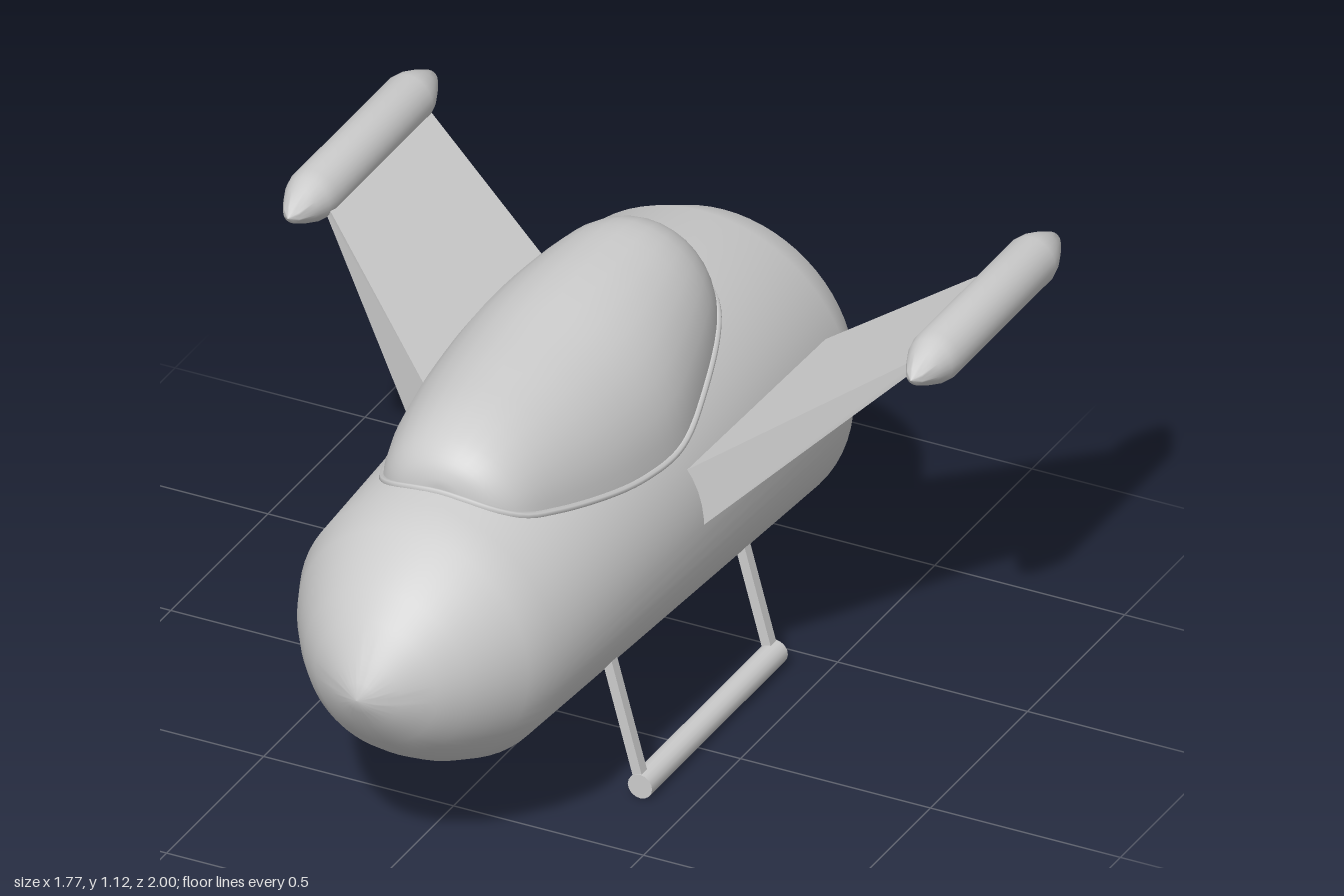
import * as THREE from 'three';
import { toCreasedNormals } from 'three/addons/utils/BufferGeometryUtils.js';

const AXIS_Y = 0.55;
const material = new THREE.MeshStandardMaterial({ color: 0xcccccc });
const twoSided = new THREE.MeshStandardMaterial({ color: 0xcccccc, side: THREE.DoubleSide });

function part(name, geometry, mat = material) {
  const mesh = new THREE.Mesh(geometry, mat);
  mesh.name = name;
  return mesh;
}

// Turned solid along z; the profile is [radius, z] from back to front
function turned(profile, segments) {
  const points = profile.map(([r, z]) => new THREE.Vector2(r, z));
  const geometry = new THREE.LatheGeometry(points, segments).rotateX(Math.PI / 2);
  return toCreasedNormals(geometry, 0.75);
}

// Height of the hull skin above a given x and z
function hullTop(x, z) {
  const r = 0.34 + (0.63 - z) * 0.0464;
  return AXIS_Y + Math.sqrt(r * r - x * x);
}

// Canopy stations: [half width, top height, z]
const canopyCurve = new THREE.CatmullRomCurve3([
  [0, 0.895, 0.57], [0.06, 0.925, 0.568], [0.13, 0.965, 0.548], [0.185, 1.005, 0.5],
  [0.225, 1.04, 0.41], [0.268, 1.065, 0.26], [0.297, 1.085, 0.1], [0.307, 1.107, -0.08],
  [0.276, 1.117, -0.25], [0.224, 1.11, -0.42], [0.18, 1.075, -0.5], [0.13, 1.03, -0.538],
  [0.06, 0.975, -0.56], [0, 0.94, -0.563],
].map((p) => new THREE.Vector3(...p)));

function canopyGeometry() {
  const rows = 52, cols = 16;
  const positions = [], indices = [];
  for (let i = 0; i <= rows; i++) {
    const s = canopyCurve.getPoint(i / rows);
    const w = Math.max(0, s.x);
    const base = hullTop(w, s.z) - 0.015;
    for (let j = 0; j <= cols; j++) {
      const a = Math.PI * j / cols;
      positions.push(w * Math.cos(a), base + (s.y - base) * Math.sin(a), s.z);
      if (i < rows && j < cols) {
        const p = i * (cols + 1) + j, q = p + cols + 1;
        indices.push(p, q, p + 1, q, q + 1, p + 1);
      }
    }
  }
  const geometry = new THREE.BufferGeometry();
  geometry.setAttribute('position', new THREE.Float32BufferAttribute(positions, 3));
  geometry.setIndex(indices);
  geometry.computeVertexNormals();
  return geometry;
}

// Thin seal where the canopy meets the hull
function sealGeometry() {
  const loop = [];
  for (const side of [1, -1]) {
    for (let i = 0; i < 40; i++) {
      const s = canopyCurve.getPoint(side > 0 ? i / 40 : 1 - i / 40);
      const w = Math.max(0, s.x);
      loop.push(new THREE.Vector3(side * w, hullTop(w, s.z), s.z));
    }
  }
  return new THREE.TubeGeometry(new THREE.CatmullRomCurve3(loop, true), 120, 0.009, 6, true);
}

// Tapered swept wing: a box whose corners move to root and tip
function wingGeometry(side) {
  const corners = {
    root: { low: [0.3, 0.505, -0.01, -0.69], high: [0.3, 0.697, -0.03, -0.69] },
    tip: { low: [0.8, 0.965, -0.385, -0.89], high: [0.8, 0.985, -0.385, -0.89] },
  };
  const geometry = new THREE.BoxGeometry(1, 1, 1);
  const p = geometry.attributes.position;
  for (let i = 0; i < p.count; i++) {
    const end = p.getX(i) * side > 0 ? corners.tip : corners.root;
    const [x, y, front, back] = p.getY(i) > 0 ? end.high : end.low;
    // The lower trailing corner of the root sits a little higher
    const lift = p.getZ(i) < 0 && end === corners.root && p.getY(i) < 0 ? 0.02 : 0;
    p.setXYZ(i, side * x, y + lift, p.getZ(i) > 0 ? front : back);
  }
  geometry.computeVertexNormals();
  return geometry;
}

// Landing skid with two struts leaning in to the hull
function skid(side) {
  const group = new THREE.Group();
  group.name = side > 0 ? 'leftSkid' : 'rightSkid';
  const runner = part('runner', new THREE.CylinderGeometry(0.032, 0.032, 0.7, 16).rotateX(Math.PI / 2));
  runner.position.set(side * 0.373, 0.034, -0.08);
  group.add(runner);
  const foot = new THREE.Vector3(side * 0.37, 0.04, 0);
  const top = new THREE.Vector3(side * 0.282, 0.36, 0);
  const direction = top.clone().sub(foot);
  for (const z of [0.253, -0.412]) {
    const strut = part('strut', new THREE.BoxGeometry(0.025, direction.length(), 0.028));
    strut.position.copy(foot).add(top).multiplyScalar(0.5).setZ(z);
    strut.quaternion.setFromUnitVectors(new THREE.Vector3(0, 1, 0), direction.clone().normalize());
    group.add(strut);
  }
  return group;
}

export function createModel() {
  const model = new THREE.Group();
  model.name = 'spaceShuttlecraft';

  // Hull with hollow exhaust bowl at the back and pointed nose at the front
  const hull = part('hull', turned([
    [0, -0.69], [0.15, -0.69], [0.21, -0.715], [0.265, -0.765], [0.305, -0.83], [0.325, -0.89],
    [0.345, -0.89], [0.405, -0.77], [0.34, 0.63], [0.305, 0.71], [0.262, 0.78], [0.215, 0.845],
    [0.16, 0.9], [0.09, 0.952], [0.04, 0.982], [0, 1],
  ], 64), twoSided);
  hull.position.y = AXIS_Y;
  model.add(hull);

  model.add(part('canopy', canopyGeometry(), twoSided));
  model.add(part('canopySeal', sealGeometry()));

  const podProfile = [
    [0, -1], [0.022, -0.98], [0.045, -0.935], [0.059, -0.9], [0.065, -0.87],
    [0.065, -0.38], [0.059, -0.35], [0.045, -0.315], [0.022, -0.27], [0, -0.25],
  ];
  for (const side of [1, -1]) {
    const prefix = side > 0 ? 'left' : 'right';
    model.add(part(prefix + 'Wing', wingGeometry(side)));
    const pod = part(prefix + 'WingtipPod', turned(podProfile, 24));
    pod.position.set(side * 0.82, 0.985, 0);
    model.add(pod, skid(side));
  }
  return model;
}
